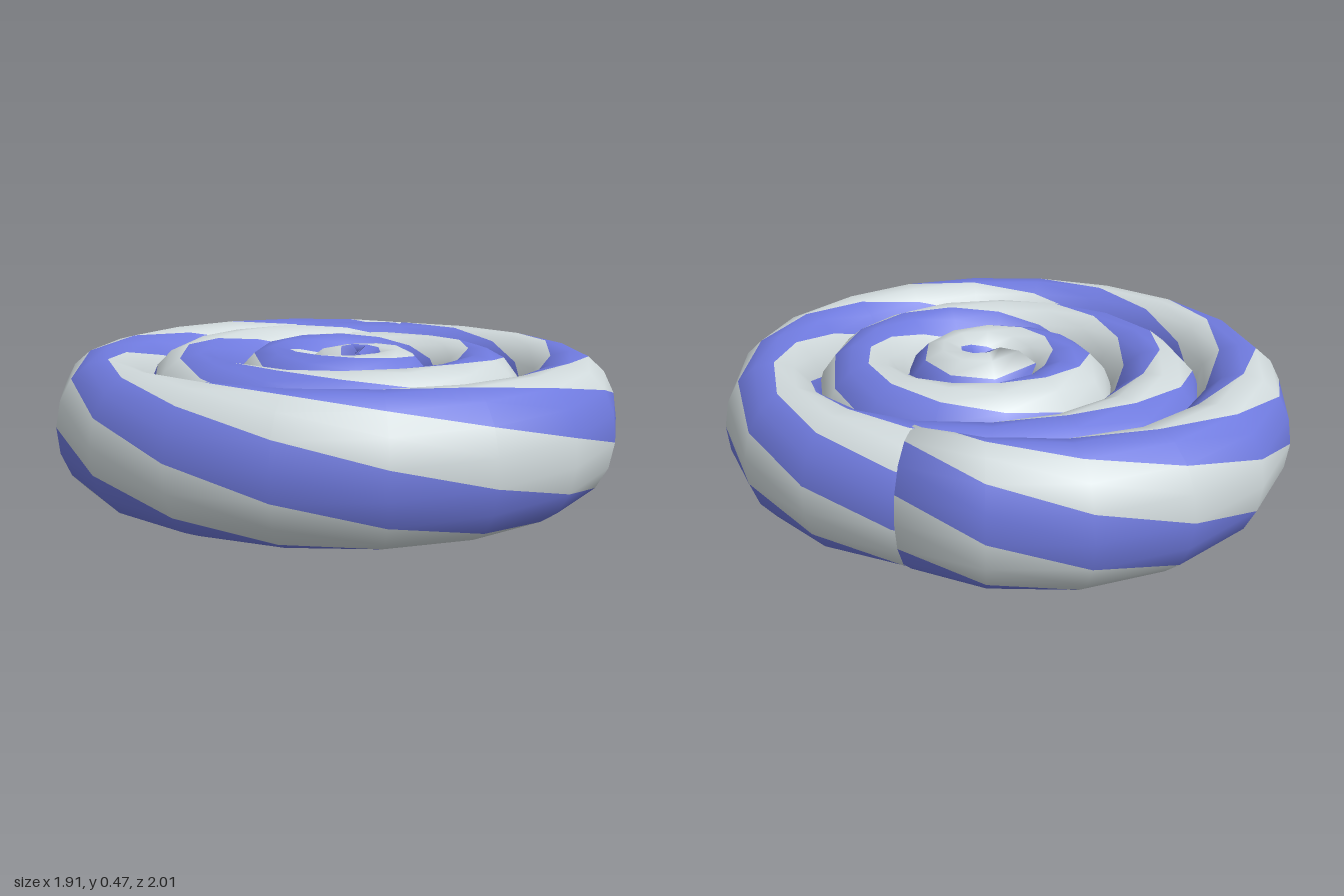
import * as THREE from 'three';

const CENTRE_X = 0.076, CENTRE_Z = 0.05; // spiral axis
const HALF_WIDTH = 0.172, HALF_HEIGHT = 0.236;
const SIDES = 16, STEPS = 48;
const START = -0.5, END = 20.1; // spiral angle range in radians

// Spiral grows steadily, then the outer tail tucks into the turn inside it
function spiralRadius(t) {
  return t < 18 ? Math.hypot(0.05 * t, 0.06) : 0.902 - 0.022 * (t - 18) ** 3;
}

// Stripes twist with the length of rope; half a stripe back centres the first one
function twist(t) {
  const degrees = 27 + 18 * (t / Math.PI) ** 2;
  return THREE.MathUtils.degToRad(degrees) - Math.PI / 8;
}

function buildRope() {
  const positions = [], blue = [], white = [];
  const place = (t, rho, y) => {
    const w = t - Math.PI / 2;
    positions.push(CENTRE_X + Math.cos(w) * rho, y, CENTRE_Z + Math.sin(w) * rho);
  };

  // Oval cross-sections, closer in angle towards the outside
  for (let i = 0; i <= STEPS; i++) {
    const t = START + (END - START) * (i / STEPS) ** 0.72;
    for (let j = 0; j < SIDES; j++) {
      const a = twist(t) + (j / SIDES) * Math.PI * 2;
      place(t, spiralRadius(t) + HALF_WIDTH * Math.cos(a), 0.24 + HALF_HEIGHT * Math.sin(a));
    }
  }

  // Cap centres
  const startCap = positions.length / 3, endCap = startCap + 1;
  place(START, spiralRadius(START), 0.24);
  place(END, spiralRadius(END), 0.24);

  // Two strips of faces per stripe, eight alternating stripes
  for (let j = 0; j < SIDES; j++) {
    const faces = Math.floor(j / 2) % 2 === 0 ? blue : white;
    const k = (j + 1) % SIDES;
    for (let i = 0; i < STEPS; i++) {
      const a = i * SIDES + j, b = i * SIDES + k;
      const c = a + SIDES, d = b + SIDES;
      faces.push(a, b, c, b, d, c);
    }
    faces.push(startCap, k, j);
    faces.push(endCap, STEPS * SIDES + j, STEPS * SIDES + k);
  }

  const geometry = new THREE.BufferGeometry();
  geometry.setAttribute('position', new THREE.Float32BufferAttribute(positions, 3));
  geometry.setIndex([...blue, ...white]);
  geometry.addGroup(0, blue.length, 0);
  geometry.addGroup(blue.length, white.length, 1);
  geometry.computeVertexNormals();
  return geometry;
}

export function createModel() {
  const blueMaterial = new THREE.MeshStandardMaterial({ color: 0x6f7ade });
  blueMaterial.name = 'blue stripe';
  const whiteMaterial = new THREE.MeshStandardMaterial({ color: 0xd0d9db });
  whiteMaterial.name = 'pale stripe';

  const group = new THREE.Group();
  group.name = 'candySwirl';
  const rope = new THREE.Mesh(buildRope(), [blueMaterial, whiteMaterial]);
  rope.name = 'stripedCoil';
  group.add(rope);
  return group;
}
